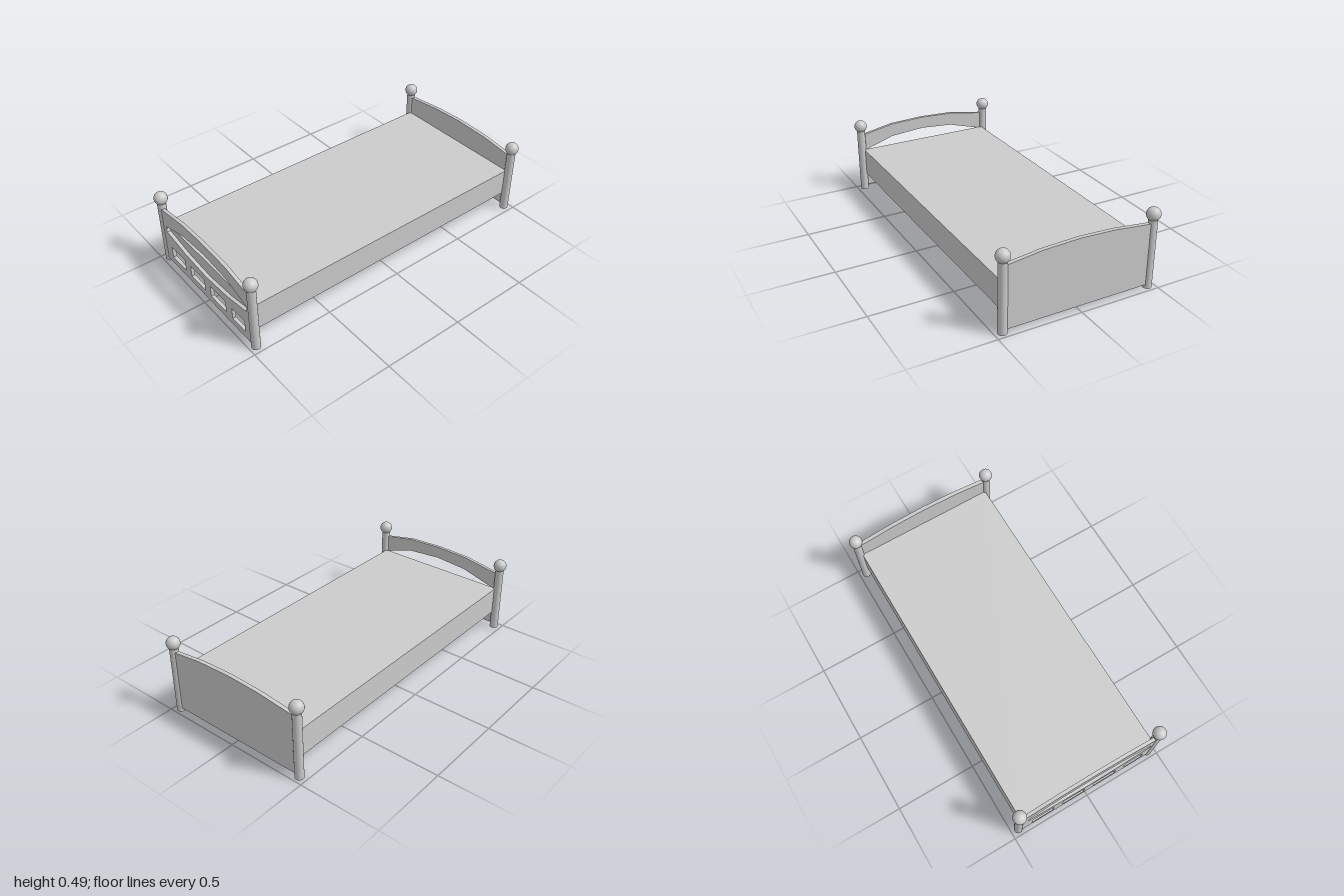
import * as THREE from 'three';

const material = new THREE.MeshStandardMaterial({ color: 0xcccccc });

const path = (Type, points) => new Type(points.map(([x, y]) => new THREE.Vector2(x, y)));

function addMesh(parent, name, geometry, x, y, z) {
  const mesh = new THREE.Mesh(geometry, material);
  mesh.name = name;
  mesh.position.set(x, y, z);
  parent.add(mesh);
  return mesh;
}

// Upright panel with a faceted arched top and optional cut-outs
function board(endHeight, holes, depth) {
  const shape = path(THREE.Shape, [
    [-0.445, 0.024], [0.445, 0.024], [0.445, endHeight - 0.002], [0.235, 0.425],
    [0.012, 0.434], [-0.2, 0.425], [-0.445, endHeight - 0.002],
  ]);
  shape.holes = holes.map((points) => path(THREE.Path, points));
  return new THREE.ExtrudeGeometry(shape, { depth, bevelEnabled: false });
}

export function createModel() {
  const bed = new THREE.Group();
  bed.name = 'bed';

  // Mattress block
  addMesh(bed, 'mattress', new THREE.BoxGeometry(0.885, 0.17, 1.906), 0, 0.196, 0.003);

  // Solid headboard at the back
  addMesh(bed, 'headboard', board(0.4, [], 0.024), 0, 0, -0.973);

  // Footboard with an eye-shaped opening and a row of four windows
  const eye = [
    [-0.407, 0.263], [-0.4, 0.282], [-0.2, 0.34], [0.015, 0.357], [0.235, 0.34], [0.417, 0.282],
    [0.424, 0.263], [0.417, 0.243], [0.235, 0.208], [0.015, 0.192], [-0.2, 0.208], [-0.4, 0.243],
  ];
  const windows = [[-0.372, -0.227], [-0.163, -0.016], [0.046, 0.199], [0.264, 0.387]].map(
    ([a, b]) => [[a, 0.069], [a, 0.146], [b, 0.146], [b, 0.069]],
  );
  addMesh(bed, 'footboard', board(0.387, [eye, ...windows], 0.021), 0, 0, 0.956);

  // Round corner posts topped with ball finials
  const postGeometry = new THREE.CylinderGeometry(0.026, 0.026, 0.42, 32);
  const ballGeometry = new THREE.SphereGeometry(0.04, 32, 20);
  for (const x of [-0.455, 0.455]) {
    for (const z of [-0.96, 0.96]) {
      const post = new THREE.Group();
      post.name = `${z > 0 ? 'front' : 'back'}${x > 0 ? 'Left' : 'Right'}Post`;
      post.position.set(x, 0, z);
      addMesh(post, 'postShaft', postGeometry, 0, 0.21, 0);
      addMesh(post, 'ballFinial', ballGeometry, 0, 0.449, 0);
      bed.add(post);
    }
  }
  return bed;
}
